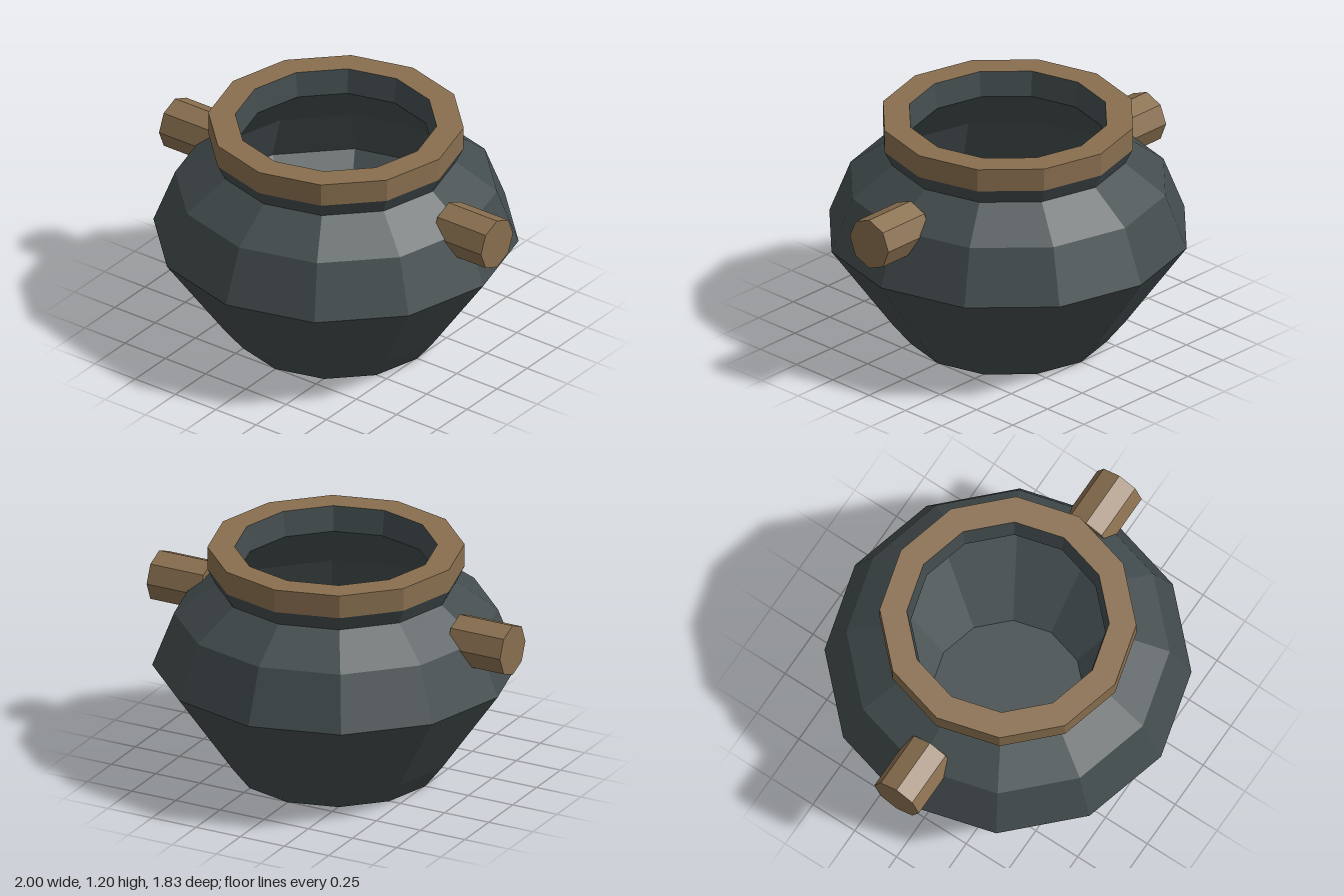
import * as THREE from 'three';

const SIDES = 12;
const slate = new THREE.MeshStandardMaterial({ color: 0x434c4e, flatShading: true });
const clay = new THREE.MeshStandardMaterial({ color: 0x896f4f, flatShading: true });

// Faceted ring surface from [radius, height] pairs
function lathe(name, profile, material) {
  const points = profile.map(([r, y]) => new THREE.Vector2(r, y));
  const mesh = new THREE.Mesh(new THREE.LatheGeometry(points, SIDES), material);
  mesh.name = name;
  return mesh;
}

export function createModel() {
  const pot = new THREE.Group();
  pot.name = 'pot';

  // Outer wall: base, flared belly, shoulder and neck
  pot.add(lathe('outerWall', [
    [0, 0], [0.505, 0], [0.6, 0.12], [0.915, 0.565],
    [0.806, 0.845], [0.6, 1.0], [0.64, 1.08],
  ], slate));

  // Hollow interior, from the mouth down to the floor
  pot.add(lathe('innerWall', [
    [0.505, 1.2], [0.485, 1.07], [0.7, 0.82], [0.8, 0.565], [0.385, 0.1], [0, 0.1],
  ], slate));

  // Rim band around the mouth
  pot.add(lathe('rim', [[0.64, 1.08], [0.64, 1.2], [0.505, 1.2]], clay));

  // Octagonal peg handles on both sides
  const peg = new THREE.CylinderGeometry(0.133, 0.133, 0.3, 8).rotateZ(Math.PI / 2);
  for (const [side, name] of [[1, 'leftHandle'], [-1, 'rightHandle']]) {
    const handle = new THREE.Mesh(peg, clay);
    handle.name = name;
    handle.position.set(side * 0.85, 0.837, 0);
    pot.add(handle);
  }
  return pot;
}
